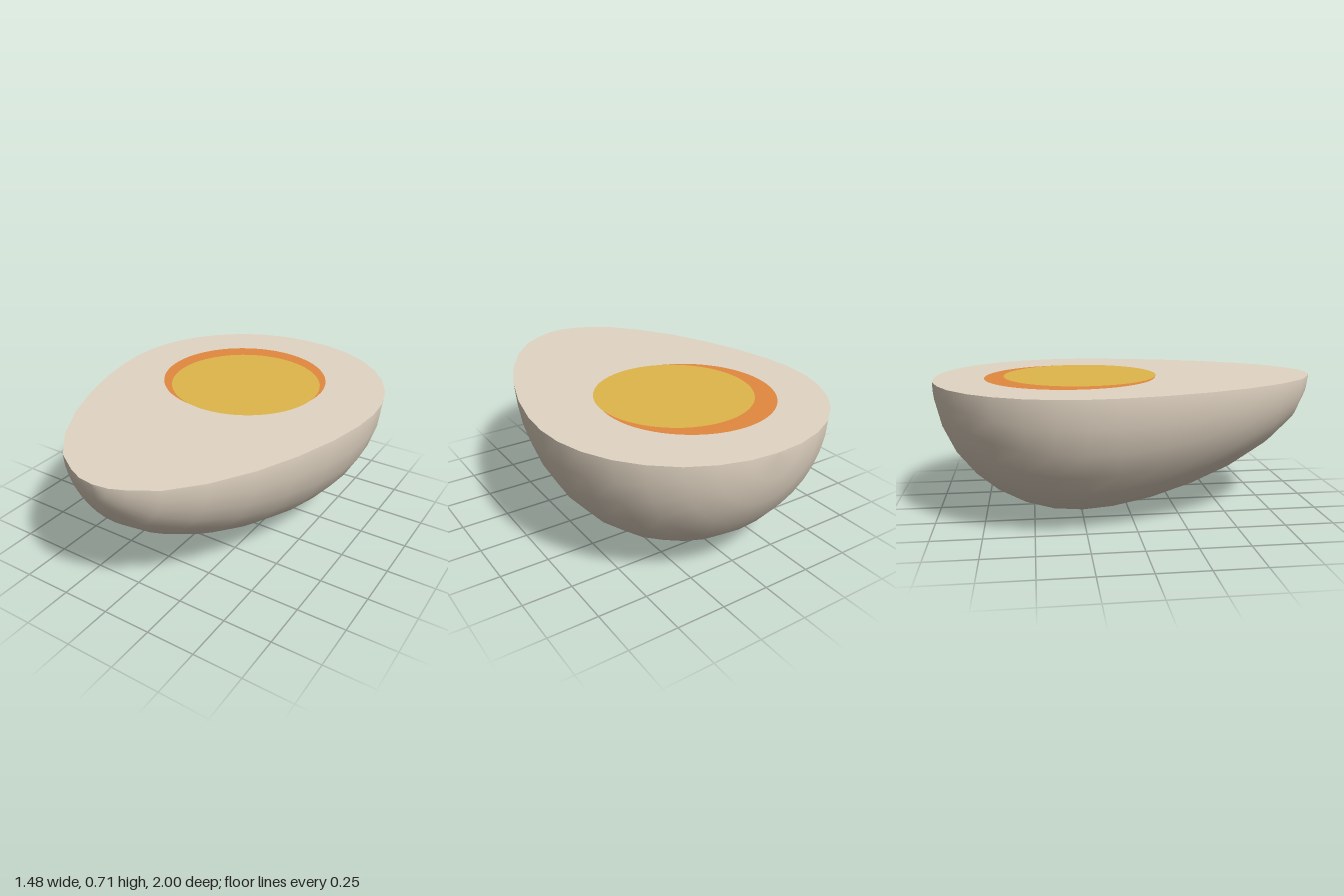
import * as THREE from 'three';

const HEIGHT = 0.705;

// Egg outline from the blunt back end to the pointed front: [radius, z]
const PROFILE = [
  [0, -1], [0.14, -0.99], [0.28, -0.95], [0.41, -0.885], [0.53, -0.785],
  [0.62, -0.675], [0.69, -0.54], [0.73, -0.4], [0.742, -0.255], [0.73, -0.1],
  [0.69, 0.1], [0.62, 0.32], [0.53, 0.53], [0.41, 0.73], [0.28, 0.88],
  [0.16, 0.955], [0.08, 0.99], [0, 1],
];

function material(name, color) {
  const m = new THREE.MeshStandardMaterial({ color });
  m.name = name;
  return m;
}

export function createModel() {
  const group = new THREE.Group();
  group.name = 'halfEgg';
  const white = material('eggWhite', 0xe2d5c3);
  const orange = material('yolkOrange', 0xe2893f);
  const yellow = material('yolkYellow', 0xdfb64b);

  const add = (name, geometry, mat, x, y, z) => {
    const mesh = new THREE.Mesh(geometry, mat);
    mesh.name = name;
    mesh.position.set(x, y, z);
    group.add(mesh);
  };

  // Rounded underside: half a turn of the outline about the long axis
  const points = PROFILE.map(([r, z]) => new THREE.Vector2(r, z));
  const body = new THREE.LatheGeometry(points, 16, -Math.PI / 2, Math.PI);
  body.rotateX(Math.PI / 2);
  body.scale(1, HEIGHT / 0.742, 1);
  add('eggBody', body, white, 0, HEIGHT, 0);

  // Flat cut face, mirrored from the same outline
  const right = PROFILE.map(([r, z]) => new THREE.Vector2(r, -z));
  const left = PROFILE.slice(1, -1).reverse().map(([r, z]) => new THREE.Vector2(-r, -z));
  const cut = new THREE.ShapeGeometry(new THREE.Shape([...right, ...left]));
  cut.rotateX(-Math.PI / 2);
  add('cutFace', cut, white, 0, HEIGHT, 0);

  // Yolk: an orange disc with an offset yellow disc on top
  const disc = (r) => new THREE.CircleGeometry(r, 64).rotateX(-Math.PI / 2);
  add('yolkRim', disc(0.445), orange, -0.035, HEIGHT + 0.002, -0.295);
  add('yolkCentre', disc(0.402), yellow, 0.005, HEIGHT + 0.004, -0.24);

  return group;
}
